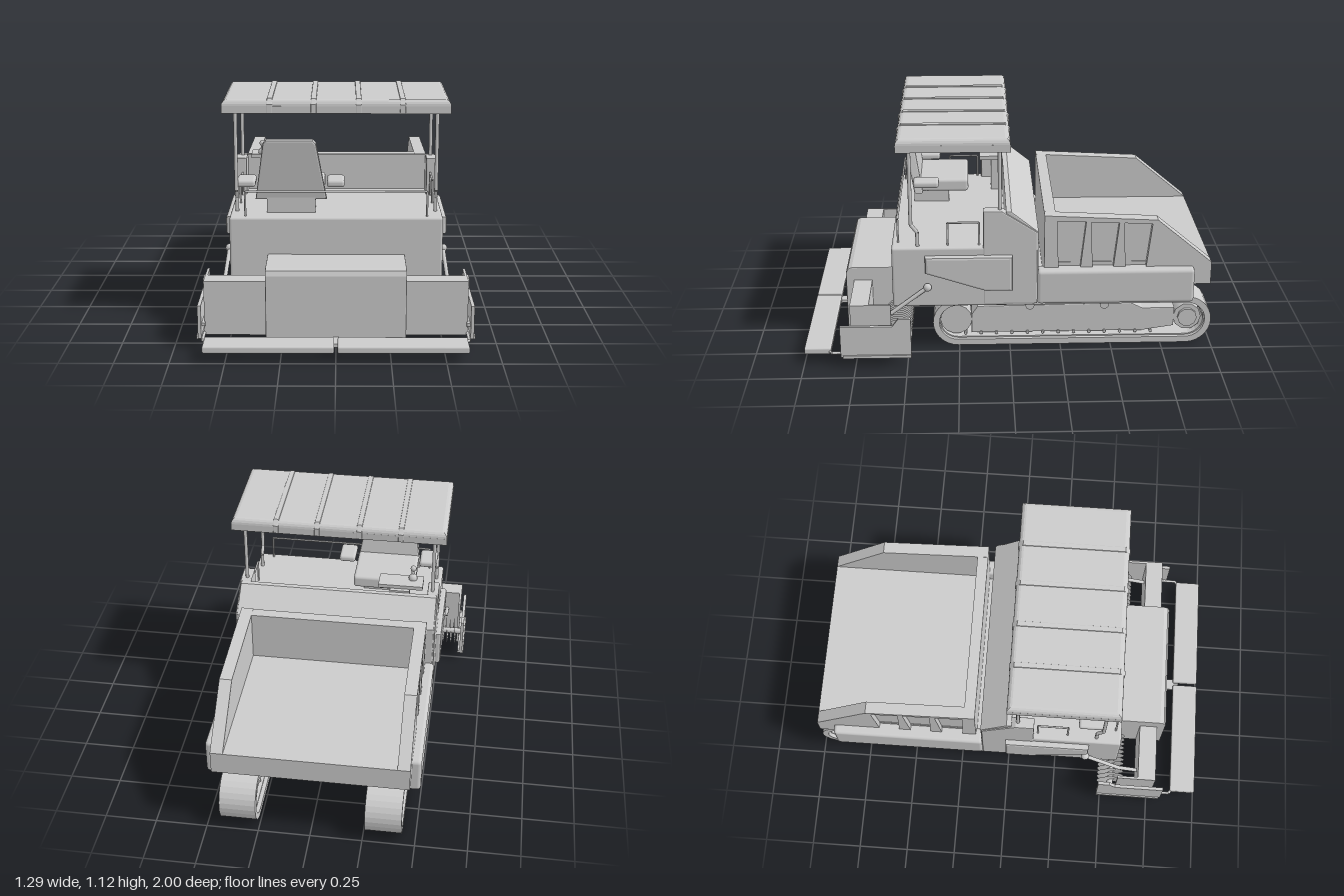
import * as THREE from 'three';
import { RoundedBoxGeometry } from 'three/addons/geometries/RoundedBoxGeometry.js';
import { ParametricGeometry } from 'three/addons/geometries/ParametricGeometry.js';

const grey = new THREE.MeshStandardMaterial({ color: 0xcccccc });
const greyDouble = new THREE.MeshStandardMaterial({ color: 0xcccccc, side: THREE.DoubleSide });

export function createModel() {
  const model = new THREE.Group();
  const add = (name, geo, mat = grey) => {
    const m = new THREE.Mesh(geo, mat);
    m.name = name;
    model.add(m);
    return m;
  };
  const vecs = (pts) => pts.map(([a, b]) => new THREE.Vector2(a, b));

  // Box given by its limits, optionally rounded
  const box = (name, x0, x1, y0, y1, z0, z1, r = 0) => {
    const s = [Math.abs(x1 - x0), y1 - y0, z1 - z0];
    const g = r ? new RoundedBoxGeometry(...s, 3, r) : new THREE.BoxGeometry(...s);
    return add(name, g.translate((x0 + x1) / 2, (y0 + y1) / 2, (z0 + z1) / 2));
  };

  // Side profile in (z, y), extruded across from xa to xb
  const profile = (name, pts, xa, xb, bevel = 0, holes = []) => {
    const shape = new THREE.Shape(vecs(pts));
    for (const h of holes) shape.holes.push(new THREE.Path(vecs(h)));
    const w = Math.abs(xb - xa);
    const g = new THREE.ExtrudeGeometry(shape, {
      depth: w - 2 * bevel, bevelEnabled: bevel > 0, bevelSize: bevel,
      bevelThickness: bevel, bevelOffset: -bevel, bevelSegments: 2,
    });
    g.rotateY(-Math.PI / 2).translate(Math.max(xa, xb) - bevel, 0, 0);
    return add(name, g);
  };

  // Round bar through a list of points
  const bar = (name, r, ...pts) => {
    for (let i = 1; i < pts.length; i++) {
      const line = new THREE.LineCurve3(new THREE.Vector3(...pts[i - 1]), new THREE.Vector3(...pts[i]));
      add(name, new THREE.TubeGeometry(line, 1, r, 10), greyDouble);
    }
  };
  const ball = (name, r, x, y, z) => add(name, new THREE.SphereGeometry(r, 14, 10).translate(x, y, z));
  const disc = (name, r, xa, xb, y, z, sides = 24) =>
    add(name, new THREE.CylinderGeometry(r, r, Math.abs(xb - xa), sides)
      .rotateZ(Math.PI / 2).translate((xa + xb) / 2, y, z));

  // Outline of a track loop around its two end wheels
  const loop = (r) => {
    const pts = [];
    for (let i = 0; i <= 14; i++) {
      const a = -Math.PI / 2 + (Math.PI * i) / 14;
      pts.push([0.255 + r * Math.cos(a), 0.125 + r * Math.sin(a)]);
    }
    for (let i = 0; i <= 14; i++) {
      const a = Math.PI / 2 + (Math.PI * i) / 14;
      pts.push([-0.875 + r * Math.cos(a), 0.125 + r * Math.sin(a)]);
    }
    return pts;
  };

  // Main body, chassis and bulkhead
  box('engineBody', -0.505, 0.505, 0.25, 0.56, -0.12, 0.57, 0.012);
  box('chassis', -0.45, 0.45, 0.25, 0.36, -0.88, -0.1);
  profile('bulkhead', [[0.02, 0.5], [0.02, 0.74], [-0.005, 0.74], [-0.135, 0.635], [-0.135, 0.27]].reverse(),
    -0.5, 0.5, 0.006);

  // Hopper
  box('hopperFloor', -0.44, 0.44, 0.335, 0.45, -0.98, -0.165);
  box('hopperFrontWall', -0.44, 0.44, 0.4, 0.7, -0.22, -0.165);

  // Screed centre and walkway bracket
  profile('screedHousing', [[0.5, 0.05], [0.81, 0.05], [0.81, 0.35], [0.8, 0.372], [0.78, 0.38], [0.5, 0.38]],
    -0.325, 0.325, 0.004);
  box('walkwayBracket', -0.028, 0.028, 0.04, 0.055, 0.66, 0.9);

  for (const s of [-1, 1]) {
    // Tracks
    profile('trackBelt', loop(0.125), s * 0.26, s * 0.435, 0, [loop(0.094).reverse()]);
    profile('trackLip', loop(0.105), s * 0.28, s * 0.415, 0, [loop(0.088).reverse()]);
    profile('trackFrame', [[0.19, 0.05], [0.19, 0.15], [0.16, 0.195], [-0.6, 0.205], [-0.66, 0.175],
      [-0.82, 0.175], [-0.82, 0.075], [-0.66, 0.05]].reverse(), s * 0.29, s * 0.4, 0.004);
    disc('driveSprocket', 0.078, s * 0.29, s * 0.4, 0.125, 0.265, 14);
    disc('idlerWheel', 0.07, s * 0.29, s * 0.4, 0.125, -0.885, 10);
    disc('idlerHub', 0.048, s * 0.28, s * 0.415, 0.125, -0.885, 10);
    for (const z of [-0.1, -0.47]) disc('carrierRoller', 0.022, s * 0.29, s * 0.41, 0.2, z, 14);
    for (let i = 0; i < 13; i++) disc('frameBolt', 0.008, s * 0.29, s * 0.41, 0.052, 0.22 - i * 0.077, 8);
    box('trackMount', s * 0.3, s * 0.39, 0.15, 0.27, -0.6, 0.1);

    // Bulkhead end pillars
    profile('consolePillar', [[0.13, 0.5], [0.13, 0.745], [0.04, 0.745], [-0.13, 0.635], [-0.13, 0.26], [0.13, 0.26]].reverse(),
      s * 0.45, s * 0.507, 0.006);

    // Hopper sides with recessed panels
    const side = [[-0.165, 0.335], [-0.165, 0.703], [-0.71, 0.675], [-0.98, 0.45], [-0.98, 0.335]];
    profile('hopperSide', side, s * 0.405, s * 0.437);
    const panels = [[-0.225, -0.365], [-0.39, -0.525], [-0.55, -0.685]].map(([a, b]) =>
      [[a - 0.01, 0.42], [b + 0.025, 0.42], [b, 0.655 + 0.04 * (b + 0.7)], [a, 0.655 + 0.04 * (a + 0.7)]]);
    profile('hopperSideFrame', side, s * 0.435, s * 0.465, 0, panels);
    box('hopperSideBeam', s * 0.43, s * 0.51, 0.255, 0.432, -0.895, -0.13, 0.018);

    // Tool box on the body flank
    profile('sideCabinet', [[0.41, 0.52], [0.41, 0.435], [0.12, 0.34], [-0.01, 0.34], [-0.01, 0.52]],
      s * 0.49, s * 0.535, 0.012);

    // Lift arm
    bar('liftArm', 0.01, [s * 0.52, 0.36, 0.4], [s * 0.535, 0.23, 0.58], [s * 0.535, 0.2, 0.69]);
    ball('armJoint', 0.02, s * 0.52, 0.36, 0.4);

    // Screed extension, end plates and walkway
    box('screedExtension', s * 0.3, s * 0.6, 0.05, 0.312, 0.68, 0.77);
    box('screedSidePlate', s * 0.6, s * 0.612, 0.05, 0.312, 0.575, 0.77);
    profile('endPlate', [[0.48, 0.05], [0.82, 0.05], [0.82, 0.21], [0.57, 0.21], [0.54, 0.25], [0.48, 0.25]],
      s * 0.622, s * 0.638);
    box('endPlateShoe', s * 0.612, s * 0.645, 0.045, 0.06, 0.48, 0.81);
    box('endPlateRib', s * 0.606, s * 0.63, 0.1, 0.115, 0.58, 0.79);
    bar('walkwayArm', 0.007, [s * 0.612, 0.06, 0.76], [s * 0.612, 0.06, 0.865], [s * 0.58, 0.06, 0.89]);
    box('walkway', s * 0.008, s * 0.602, 0.047, 0.08, 0.87, 1.0, 0.008);

    // Auger
    disc('augerShaft', 0.016, s * 0.28, s * 0.63, 0.15, 0.545, 12);
    add('augerBlade', new ParametricGeometry((u, v, t) => {
      const a = u * Math.PI * 2 * 13;
      const r = 0.014 + v * 0.056;
      t.set(s * (0.32 + 0.28 * u), 0.15 + r * Math.sin(a), 0.545 + r * Math.cos(a));
    }, 260, 1), greyDouble);
    box('augerBracket', s * 0.28, s * 0.31, 0.1, 0.28, 0.5, 0.58);

    // Canopy posts and side rails
    bar('rearPost', 0.009, [s * 0.475, 0.7, 0.05], [s * 0.475, 1.09, 0.05]);
    bar('frontPost', 0.009, [s * 0.475, 1.09, 0.475], [s * 0.475, 0.67, 0.475],
      [s * 0.475, 0.63, 0.445], [s * 0.475, 0.55, 0.445]);
    bar('sideRail', 0.005, [s * 0.47, 0.55, 0.3], [s * 0.47, 0.675, 0.3], [s * 0.47, 0.675, 0.15], [s * 0.47, 0.55, 0.15]);
  }

  // Front guard rail
  bar('guardRail', 0.005, [-0.43, 0.55, 0.54], [-0.43, 0.68, 0.54], [0.43, 0.68, 0.54], [0.43, 0.55, 0.54]);

  // Canopy: rounded top, flattened underneath, over a thin rim
  const rect = (x, z0, z1) => vecs([[-x, z0], [x, z0], [x, z1], [-x, z1]]);
  const roof = new THREE.ExtrudeGeometry(new THREE.Shape(rect(0.535, -0.535, 0)), {
    depth: 0.001, bevelSize: 0.025, bevelThickness: 0.03, bevelOffset: -0.025, bevelSegments: 4,
  }).rotateX(-Math.PI / 2).translate(0, 1.085, 0);
  const p = roof.attributes.position;
  for (let i = 0; i < p.count; i++) if (p.getY(i) < 1.085) p.setY(i, 1.085);
  roof.computeVertexNormals();
  add('canopyRoof', roof, greyDouble);
  const rimShape = new THREE.Shape(rect(0.535, -0.535, 0));
  rimShape.holes.push(new THREE.Path(rect(0.52, -0.52, -0.015).reverse()));
  add('canopyRim', new THREE.ExtrudeGeometry(rimShape, { depth: 0.035, bevelEnabled: false })
    .rotateX(-Math.PI / 2).translate(0, 1.052, 0));
  for (const x of [-0.31, -0.105, 0.105, 0.31]) {
    profile('canopyRib', [[-0.004, 1.055], [0.539, 1.055], [0.539, 1.095], [0.515, 1.121], [0.02, 1.121], [-0.004, 1.095]],
      x - 0.013, x + 0.013, 0.003, []);
  }

  // Operator seat
  const back = new THREE.ExtrudeGeometry(
    new THREE.Shape(vecs([[-0.385, 0.625], [-0.045, 0.625], [-0.095, 0.905], [-0.11, 0.922], [-0.33, 0.922], [-0.345, 0.905]])),
    { depth: 0.03, bevelSize: 0.008, bevelThickness: 0.008, bevelOffset: -0.008, bevelSegments: 2 });
  const q = back.attributes.position;
  for (let i = 0; i < q.count; i++) q.setZ(i, q.getZ(i) + 0.44 + (q.getY(i) - 0.625) * 0.17);
  back.computeVertexNormals();
  add('seatBack', back);
  box('seatCushion', -0.375, -0.055, 0.63, 0.695, 0.2, 0.47, 0.015);
  box('seatBase', -0.33, -0.1, 0.55, 0.635, 0.3, 0.48);
  for (const [a, b] of [[-0.475, -0.385], [-0.045, 0.04]]) box('armrest', a, b, 0.683, 0.718, 0.35, 0.48, 0.014);

  // Control panel and lever
  box('controlPanel', -0.425, -0.2, 0.748, 0.768, 0.04, 0.14);
  box('panelStand', -0.36, -0.26, 0.55, 0.75, 0.02, 0.08);
  bar('controlLever', 0.009, [-0.37, 0.76, 0.11], [-0.37, 0.82, 0.125]);
  ball('leverKnob', 0.015, -0.37, 0.822, 0.125);
  ball('leverBoot', 0.022, -0.37, 0.775, 0.11);

  return model;
}
